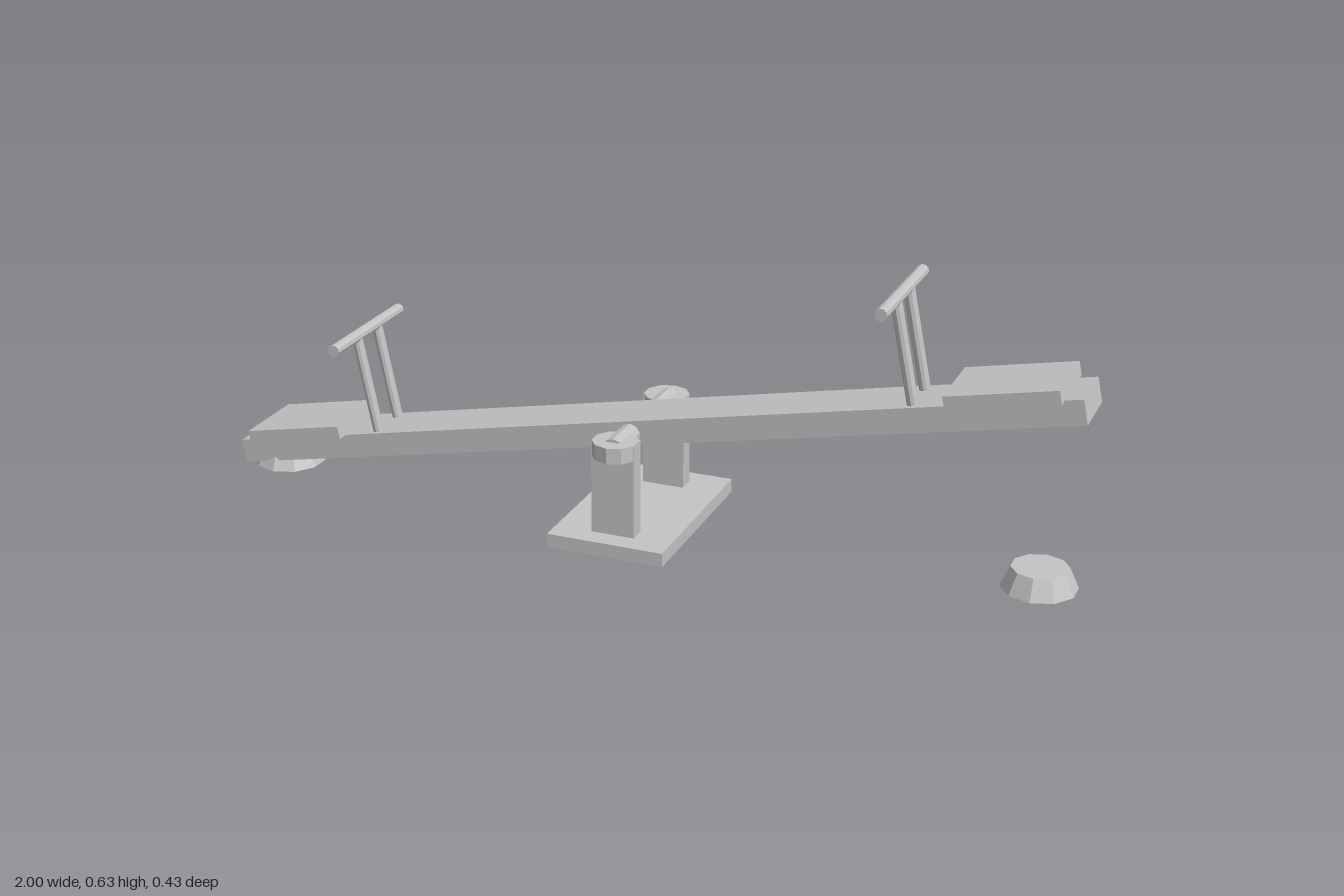
import * as THREE from 'three';

export function createModel() {
  const root = new THREE.Group();
  root.name = 'seesaw';
  const grey = new THREE.MeshStandardMaterial({ color: 0xc4c4c4, flatShading: true });
  grey.name = 'plain grey';

  const add = (parent, name, geometry, x, y, z) => {
    const mesh = new THREE.Mesh(geometry, grey);
    mesh.name = name;
    mesh.position.set(x, y, z);
    parent.add(mesh);
    return mesh;
  };
  const box = (w, h, d) => new THREE.BoxGeometry(w, h, d);
  const rod = (r, length) => new THREE.CylinderGeometry(r, r, length, 10);

  // Ground plate with two uprights, their caps and the pivot axle
  add(root, 'basePlate', box(0.272, 0.032, 0.434), 0, 0.016, 0);
  for (const side of [-1, 1]) {
    add(root, 'upright', box(0.1, 0.219, 0.04), 0, 0.1395, side * 0.148);
    add(root, 'uprightCap', new THREE.CylinderGeometry(0.052, 0.052, 0.036, 10), 0, 0.232, side * 0.15);
  }
  add(root, 'axle', rod(0.025, 0.33), 0, 0.233, 0).rotation.x = Math.PI / 2;

  // Tilted beam carrying a seat and a handle at each end
  const beam = new THREE.Group();
  beam.name = 'tiltedBeam';
  beam.position.y = 0.235;
  beam.rotation.z = 0.2;
  root.add(beam);
  add(beam, 'plank', box(2.029, 0.056, 0.139), 0, 0, 0);
  for (const end of [-1, 1]) {
    add(beam, 'seat', box(0.246, 0.031, 0.184), end * 0.851, 0.0415, 0);
    for (const side of [-1, 1]) {
      add(beam, 'handlePost', rod(0.0125, 0.235), end * 0.648, 0.1425, side * 0.047);
    }
    add(beam, 'handleBar', rod(0.014, 0.31), end * 0.648, 0.2585, 0).rotation.x = Math.PI / 2;

    // Landing bumper on the ground
    add(root, 'bumper', new THREE.CylinderGeometry(0.063, 0.084, 0.047, 10), end * 0.91, 0.0235, 0);
  }
  return root;
}
